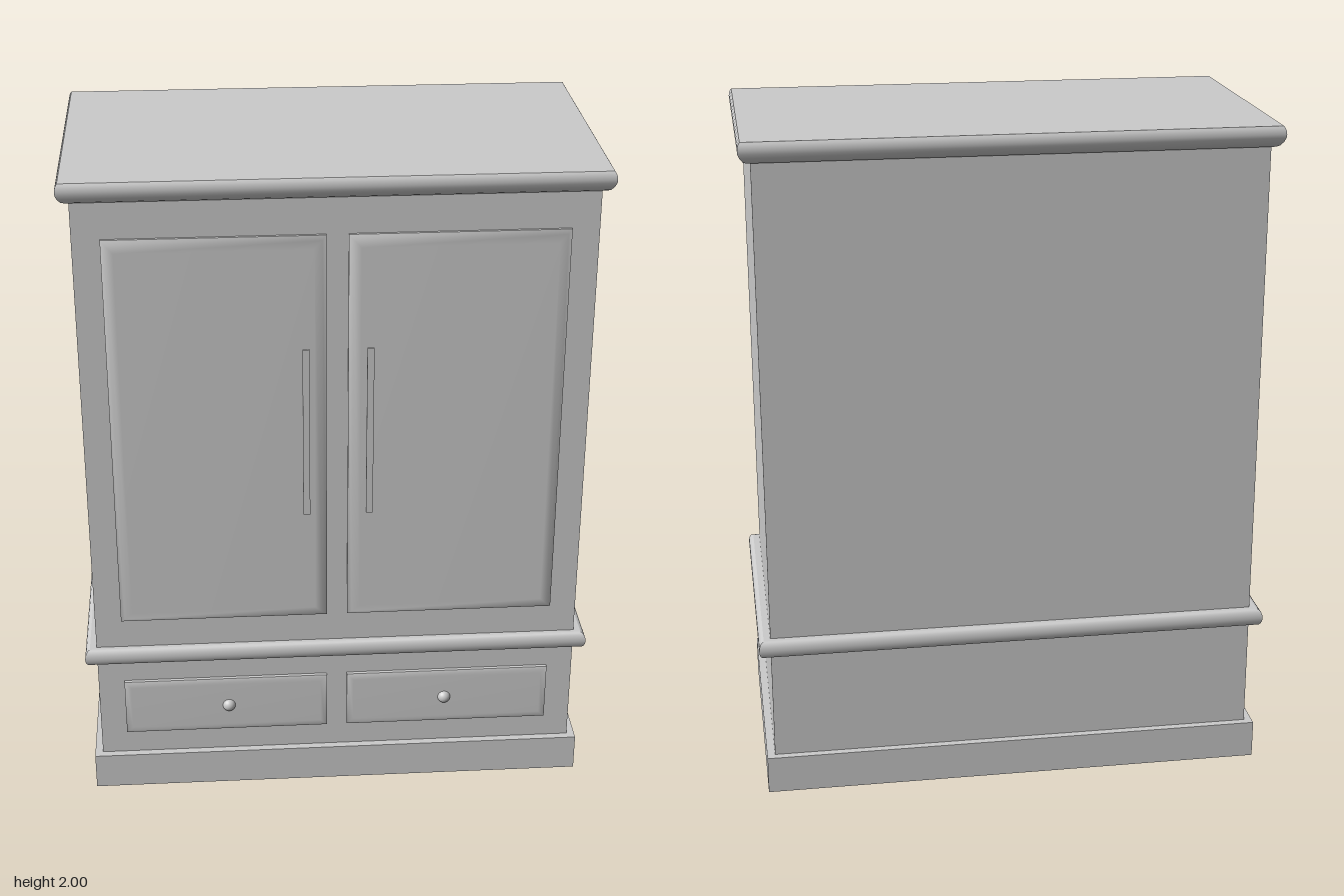
import * as THREE from 'three';
import { mergeVertices } from 'three/addons/utils/BufferGeometryUtils.js';

const material = new THREE.MeshStandardMaterial({ color: 0xcccccc });
const BODY_Z = -0.008; // centre of the carcass depth
const FRONT = 0.39; // front plane of the carcass

function add(parent, name, geometry, x = 0, y = 0, z = 0) {
  const mesh = new THREE.Mesh(geometry, material);
  mesh.name = name;
  mesh.position.set(x, y, z);
  parent.add(mesh);
  return mesh;
}

// Stacked rectangles with mitred corners: profile is [inset, height] from the bottom up.
// Each side is smooth along the profile; a soft block also blends its corners and top.
function profiledBlock(hx, hz, profile, soft = false) {
  const positions = [];
  const index = [];
  const corner = (k, [inset, y]) => {
    const sx = [-1, 1, 1, -1][k % 4];
    const sz = [1, 1, -1, -1][k % 4];
    return [sx * (hx - inset), y, sz * (hz - inset)];
  };
  const quad = (a, b, c, d) => index.push(a, b, c, a, c, d);
  for (let k = 0; k < 4; k++) {
    const start = positions.length / 3;
    profile.forEach((p) => positions.push(...corner(k, p), ...corner(k + 1, p)));
    for (let i = 0; i < profile.length - 1; i++) {
      const a = start + 2 * i;
      quad(a, a + 1, a + 3, a + 2);
    }
  }
  const cap = (p, order) => {
    const start = positions.length / 3;
    order.forEach((k) => positions.push(...corner(k, p)));
    quad(start, start + 1, start + 2, start + 3);
  };
  cap(profile[profile.length - 1], [0, 1, 2, 3]);
  if (!soft) cap(profile[0], [3, 2, 1, 0]);
  let geometry = new THREE.BufferGeometry();
  geometry.setAttribute('position', new THREE.Float32BufferAttribute(positions, 3));
  geometry.setIndex(index);
  if (soft) geometry = mergeVertices(geometry);
  geometry.computeVertexNormals();
  return geometry;
}

// Raised front with a square edge and a softly pillowed face
function raisedPanel(name, width, height, edge, rise, border) {
  const group = new THREE.Group();
  group.name = name;
  add(group, name + 'Edge', new THREE.BoxGeometry(width, height, edge), 0, 0, edge / 2);
  const face = profiledBlock(width / 2, height / 2, [[0, 0], [border * 0.35, rise * 0.65], [border, rise]], true);
  face.rotateX(Math.PI / 2);
  add(group, name + 'Face', face, 0, 0, edge);
  return group;
}

// Slim vertical bar on two round standoffs
function pullHandle(name) {
  const group = new THREE.Group();
  group.name = name;
  add(group, 'handleBar', new THREE.BoxGeometry(0.02, 0.53, 0.007), 0, 0, 0.0425);
  for (const y of [-0.207, 0.195]) {
    const post = new THREE.CylinderGeometry(0.013, 0.013, 0.03, 20);
    post.rotateX(Math.PI / 2);
    post.scale(0.5, 1, 1);
    add(group, 'handlePost', post, 0, y, 0.025);
  }
  return group;
}

export function createModel() {
  const model = new THREE.Group();
  model.name = 'wardrobe';

  // Carcass and plinth
  add(model, 'carcass', new THREE.BoxGeometry(1.468, 1.9, 0.794), 0, 1.0, BODY_Z);
  add(model, 'plinth', new THREE.BoxGeometry(1.516, 0.115, 0.84), 0, 0.0575, BODY_Z);

  // Rounded cornice at the top
  const cornice = [[0.024, 1.938], [0.014, 1.944], [0.006, 1.955], [0.001, 1.967],
    [0, 1.977], [0.001, 1.986], [0.004, 1.994], [0.008, 2]];
  add(model, 'cornice', profiledBlock(0.769, 0.426, cornice), 0, 0, BODY_Z - 0.002);

  // Half-round waist moulding between doors and drawers
  const waist = [];
  for (let i = 0; i <= 8; i++) {
    const a = -Math.PI / 2 + (i / 8) * Math.PI;
    waist.push([0.015 * (1 - Math.cos(a)), 0.4775 + 0.0265 * Math.sin(a)]);
  }
  add(model, 'waistMoulding', profiledBlock(0.769, 0.426, waist), 0, 0, BODY_Z - 0.002);

  // Mirrored doors, handles, drawers and knobs
  for (const [side, s] of [['left', 1], ['right', -1]]) {
    const door = raisedPanel(side + 'Door', 0.624, 1.23, 0.008, 0.014, 0.035);
    door.position.set(s * 0.343, 1.215, FRONT);
    model.add(door);

    const handle = pullHandle(side + 'Handle');
    handle.position.set(s * 0.092, 1.235, FRONT);
    model.add(handle);

    const drawer = raisedPanel(side + 'Drawer', 0.624, 0.185, 0.011, 0.004, 0.02);
    drawer.position.set(s * 0.343, 0.2875, FRONT);
    model.add(drawer);

    add(model, side + 'DrawerKnob', new THREE.SphereGeometry(0.02, 24, 16), s * 0.335, 0.285, 0.403);
  }
  return model;
}
